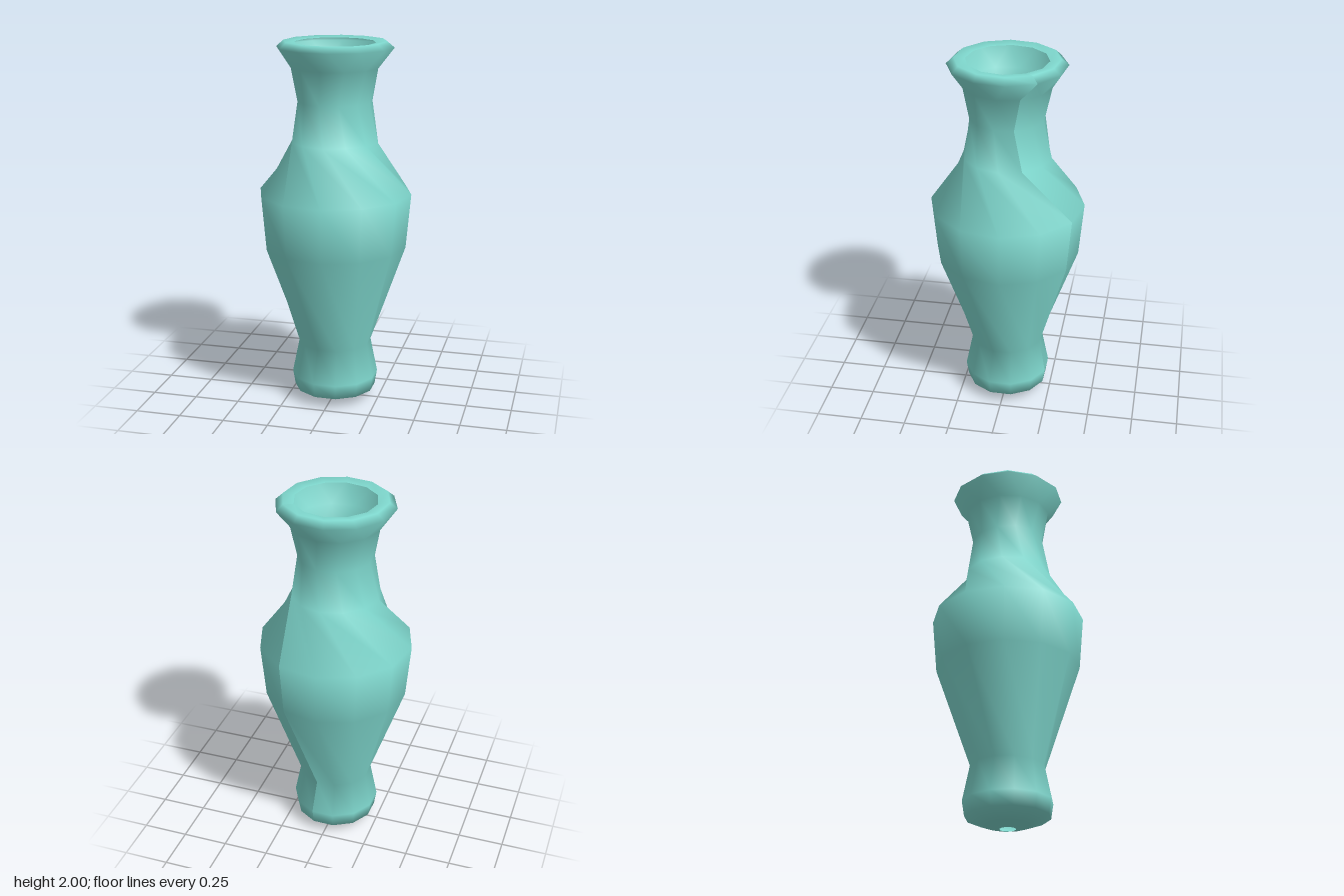
import * as THREE from 'three';

const SIDES = 12;

// Rings from the drain hole up to the inner lip: [radius, height, twist in degrees]
const RINGS = [
  [0.043, 0.0, -74], [0.12, 0.02, -74], [0.225, 0.06, -74], [0.238, 0.14, -74],
  [0.2, 0.33, -76], [0.39, 0.89, -63], [0.416, 1.185, -63.5],
  [0.237, 1.465, -28], [0.2, 1.68, -19], [0.236, 1.86, -25],
  [0.313, 1.965, -37.5], [0.275, 1.998, -36], [0.217, 1.99, -33],
];

// Skin the twisted rings; the seam column is doubled, so it stays a visible crease
function twistedLathe(rings) {
  const positions = [];
  const index = [];
  const row = SIDES + 1;
  rings.forEach(([r, y, twist], i) => {
    for (let k = 0; k <= SIDES; k++) {
      const a = THREE.MathUtils.degToRad(twist + (k * 360) / SIDES);
      positions.push(r * Math.cos(a), y, r * Math.sin(a));
      if (i === rings.length - 1 || k === SIDES) continue;
      const b = i * row + k;
      const t = b + row;
      index.push(b, t, t + 1, b, t + 1, b + 1);
    }
  });
  const geometry = new THREE.BufferGeometry();
  geometry.setAttribute('position', new THREE.Float32BufferAttribute(positions, 3));
  geometry.setIndex(index);
  geometry.computeVertexNormals();
  return geometry;
}

export function createModel() {
  const group = new THREE.Group();
  group.name = 'vase';
  const glaze = new THREE.MeshStandardMaterial({ color: 0x7fd8ce, side: THREE.DoubleSide });
  glaze.name = 'turquoise glaze';

  // Thin open shell with a folded lip and a hole in the base
  const body = new THREE.Mesh(twistedLathe(RINGS), glaze);
  body.name = 'vaseBody';
  group.add(body);
  return group;
}
